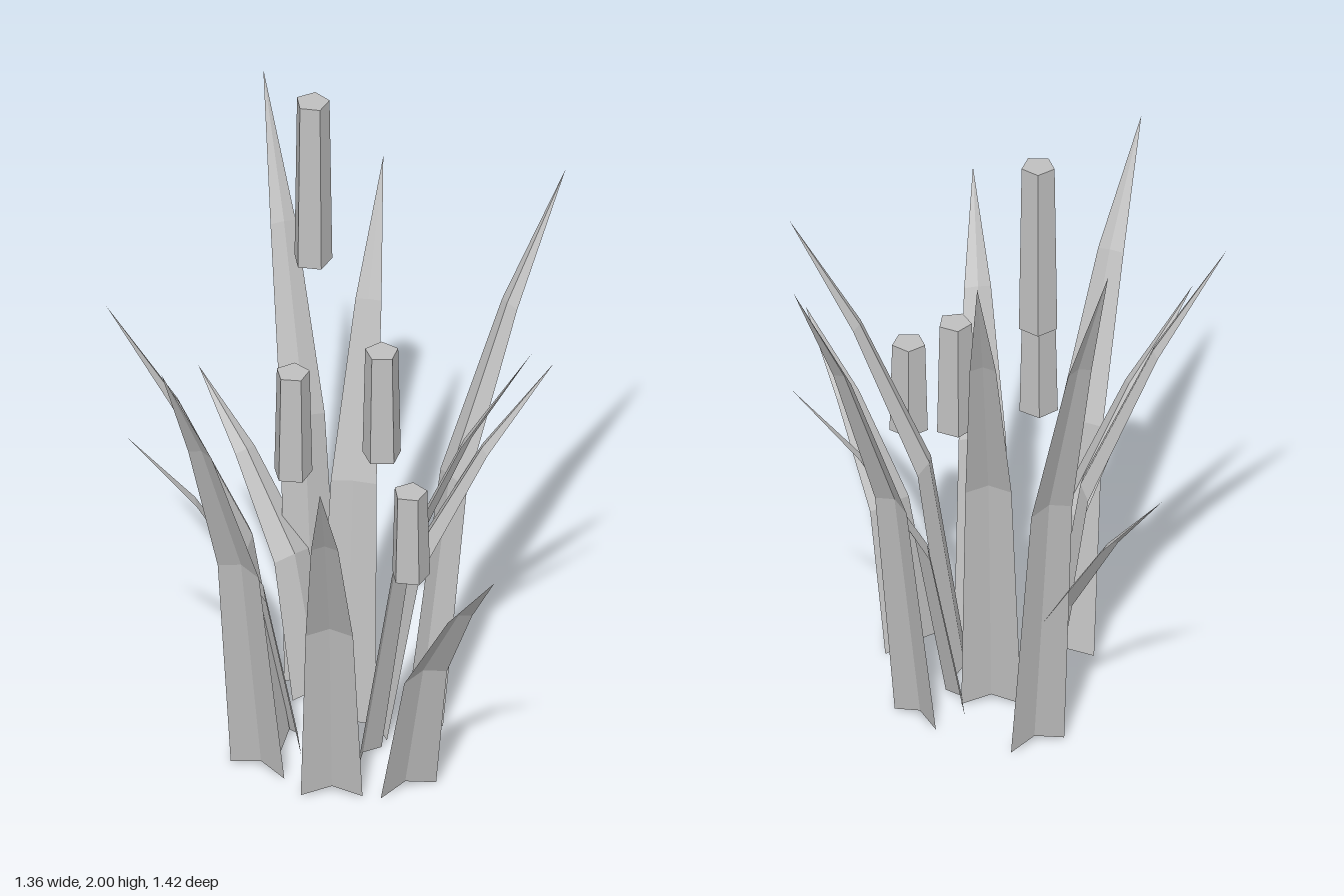
import * as THREE from 'three';

// One grey for the whole plant; the blades are open sheets
const grey = new THREE.MeshStandardMaterial({ color: 0xc0c0c0, flatShading: true, side: THREE.DoubleSide });

// Rows up a blade: height fraction, outward fraction, width fraction
const ROWS = [[0, 0, 1], [0.46, 0.2, 0.77], [0.77, 0.6, 0.44]];

// Blade with a raised midrib, from two base corners [x, z] to a tip [x, y, z]
function makeLeaf(a, b, tip) {
  const cx = (a[0] + b[0]) / 2, cz = (a[1] + b[1]) / 2;
  const hx = (b[0] - a[0]) / 2, hz = (b[1] - a[1]) / 2;
  const dx = tip[0] - cx, dz = tip[2] - cz;

  // midrib is pushed inward, square to the blade's width
  const rib = new THREE.Vector2(-hz, hx).normalize();
  if (rib.x * dx + rib.y * dz > 0) rib.negate();

  const points = [], index = [];
  ROWS.forEach(([h, out, w], r) => {
    const x = cx + dx * out, y = tip[1] * h, z = cz + dz * out;
    const fold = 0.02 * w;
    points.push(x - hx * w, y, z - hz * w);
    points.push(x + rib.x * fold, y + fold, z + rib.y * fold);
    points.push(x + hx * w, y, z + hz * w);
    const i = r * 3;
    for (const k of [i, i + 1]) {
      if (r < ROWS.length - 1) index.push(k, k + 1, k + 4, k, k + 4, k + 3);
      else index.push(k, k + 1, ROWS.length * 3);
    }
  });
  points.push(...tip);

  const geometry = new THREE.BufferGeometry();
  geometry.setAttribute('position', new THREE.Float32BufferAttribute(points, 3));
  geometry.setIndex(index);
  const flat = geometry.toNonIndexed();
  flat.computeVertexNormals();
  return new THREE.Mesh(flat, grey);
}

// Five-sided seed head, slightly wider at the bottom
function makeHead(x, z, bottom, top, turn) {
  const geometry = new THREE.CylinderGeometry(0.05, 0.058, top - bottom, 5, 1, false, Math.PI / 2);
  const head = new THREE.Mesh(geometry, grey);
  head.position.set(x, (bottom + top) / 2, z);
  head.rotation.y = turn;
  return head;
}

export function createModel() {
  const model = new THREE.Group();
  model.name = 'reedPlant';

  // Leaves: base corner, base corner, tip
  const leaves = [
    [[-0.14, -0.29], [0.03, -0.32], [-0.14, 1.85, -0.71]],
    [[-0.13, -0.19], [0.01, -0.27], [-0.35, 0.94, -0.56]],
    [[-0.075, -0.085], [0.09, -0.035], [0.17, 1.70, -0.44]],
    [[0.20, -0.14], [0.28, 0.0], [0.68, 1.70, -0.30]],
    [[0.10, -0.10], [0.11, 0.05], [0.61, 1.20, -0.05]],
    [[0.09, 0.08], [0.0, 0.20], [0.49, 1.51, 0.34]],
    [[0.05, 0.34], [0.22, 0.28], [0.33, 0.96, 0.69]],
    [[-0.175, 0.29], [0.0, 0.32], [-0.18, 1.33, 0.71]],
    [[-0.21, 0.20], [-0.35, 0.09], [-0.60, 1.60, 0.43]],
    [[-0.145, 0.09], [-0.18, -0.07], [-0.66, 1.19, 0.13]],
    [[-0.165, -0.11], [-0.20, 0.06], [-0.68, 1.47, -0.13]],
  ];
  leaves.forEach((leaf, i) => {
    const mesh = makeLeaf(...leaf);
    mesh.name = `leaf${i + 1}`;
    model.add(mesh);
  });

  // Seed heads: x, z, bottom, top, turn
  const heads = [
    [-0.055, -0.31, 1.45, 2.0, 0],
    [0.105, -0.02, 0.95, 1.31, 0.19],
    [-0.16, 0.02, 0.94, 1.29, 0.05],
    [0.14, 0.31, 0.75, 1.04, 0],
  ];
  heads.forEach((head, i) => {
    const mesh = makeHead(...head);
    mesh.name = `seedHead${i + 1}`;
    model.add(mesh);
  });

  return model;
}
